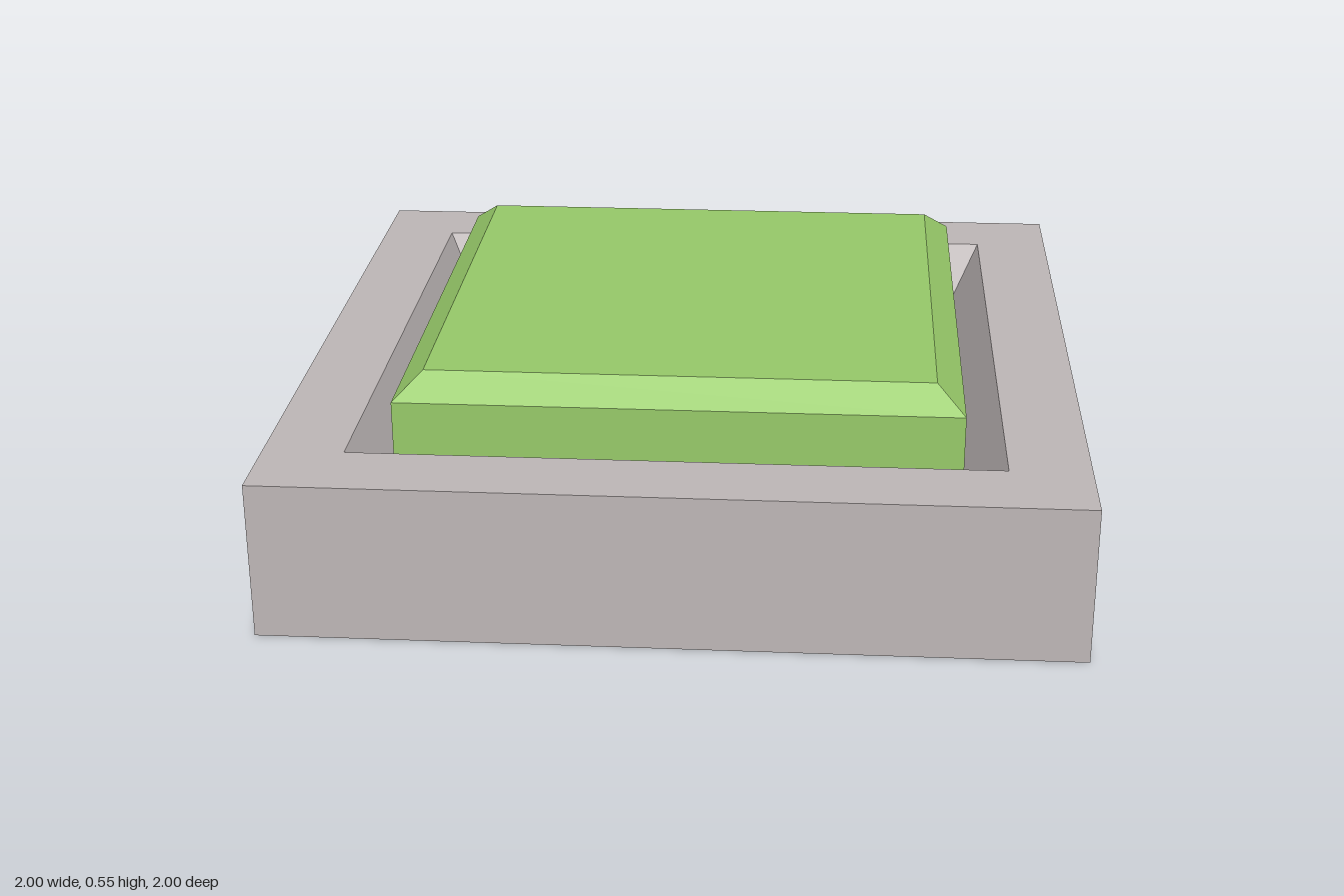
import * as THREE from 'three';

// Square solid from a profile of [half-width, height] points, bottom to top
function squareLathe(name, profile, material) {
  const points = profile.map(([w, y]) => new THREE.Vector2(w * Math.SQRT2, y));
  const geometry = new THREE.LatheGeometry(points, 4, Math.PI / 4).toNonIndexed();
  geometry.computeVertexNormals(); // flat faces
  const mesh = new THREE.Mesh(geometry, material);
  mesh.name = name;
  return mesh;
}

export function createModel() {
  const grey = new THREE.MeshStandardMaterial({ color: 0xbfb8b8 });
  grey.name = 'warm grey';
  const green = new THREE.MeshStandardMaterial({ color: 0x98cb6a });
  green.name = 'light green';

  const model = new THREE.Group();
  model.name = 'pushButton';

  // Housing with a sloped recess around the button
  model.add(squareLathe('housing', [
    [0, 0], [1, 0], [1, 0.4], [0.8, 0.4], [0.7, 0.2], [0, 0.2],
  ], grey));

  // Button with a bevelled top edge, rising out of the recess
  model.add(squareLathe('button', [
    [0.7, 0.2], [0.7, 0.49], [0.63, 0.55], [0, 0.55],
  ], green));

  return model;
}
